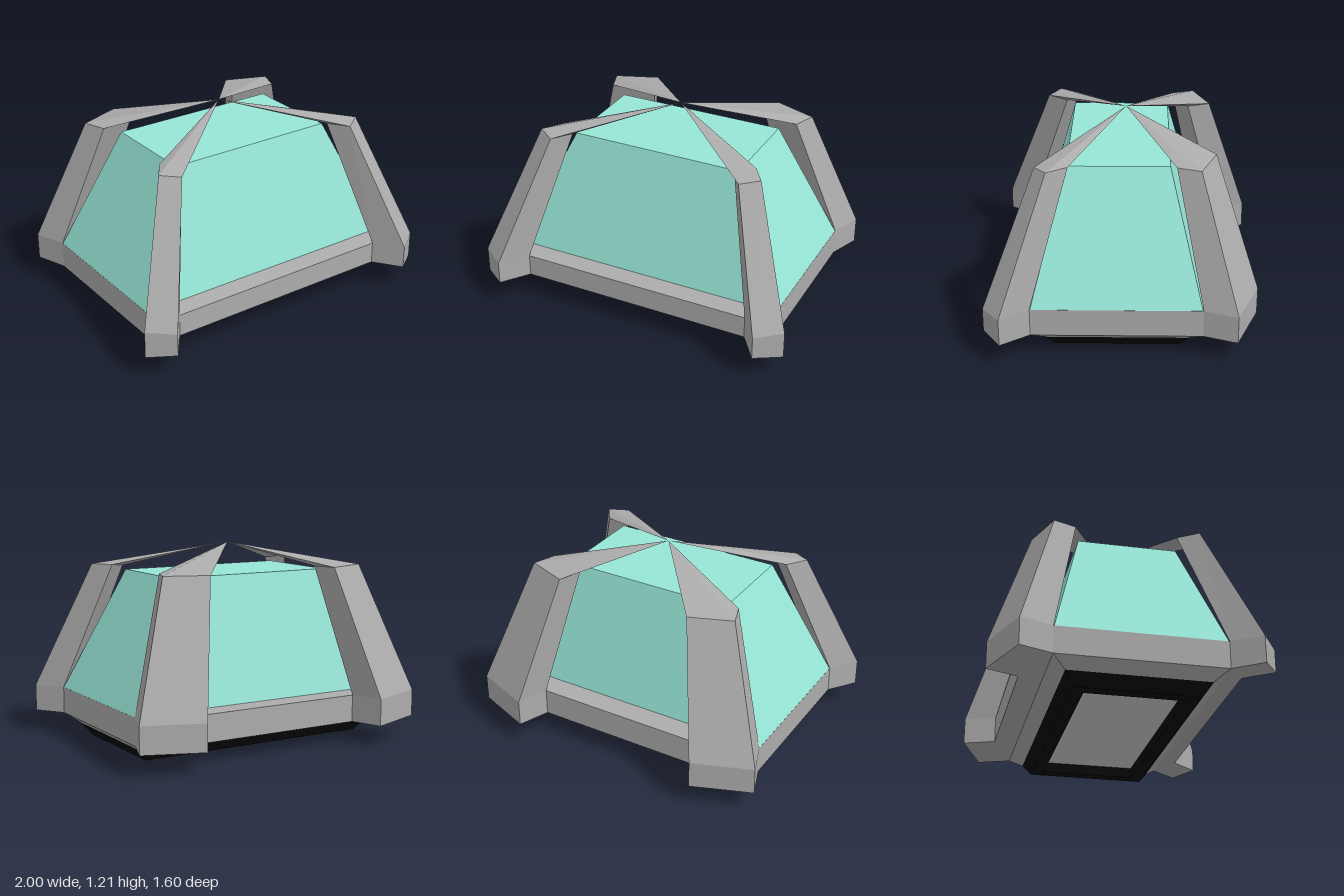
import * as THREE from 'three';

const grey = new THREE.MeshStandardMaterial({ color: 0xacacac, flatShading: true });
const paleGrey = new THREE.MeshStandardMaterial({ color: 0xcccccc, flatShading: true });
const black = new THREE.MeshStandardMaterial({ color: 0x070707, flatShading: true });
const glass = new THREE.MeshStandardMaterial({ color: 0x97e6d6, flatShading: true });

// Skins a stack of rings [x, y, z], each counterclockwise seen from above.
function loft(rings, capBottom = true, capTop = true) {
  const pos = [];
  const tri = (a, b, c) => {
    const same = (p, q) => p.every((v, i) => v === q[i]);
    if (!same(a, b) && !same(b, c) && !same(a, c)) pos.push(...a, ...b, ...c);
  };
  const n = rings[0].length;
  for (let k = 0; k < rings.length - 1; k++) {
    const lo = rings[k], hi = rings[k + 1];
    for (let i = 0; i < n; i++) {
      const j = (i + 1) % n;
      tri(lo[i], lo[j], hi[j]);
      tri(lo[i], hi[j], hi[i]);
    }
  }
  const first = rings[0], last = rings[rings.length - 1];
  for (let i = 1; i < n - 1; i++) {
    if (capBottom) tri(first[0], first[i + 1], first[i]);
    if (capTop) tri(last[0], last[i], last[i + 1]);
  }
  const geo = new THREE.BufferGeometry();
  geo.setAttribute('position', new THREE.Float32BufferAttribute(pos, 3));
  geo.computeVertexNormals();
  return geo;
}

// Rectangle ring at height y, from zBack to zFront.
const rect = (x, zBack, zFront, y) =>
  [[x, y, zFront], [x, y, zBack], [-x, y, zBack], [-x, y, zFront]];

const mirror = (ring) => ring.map(([x, y, z]) => [-x, y, z]).reverse();

export function createModel() {
  const group = new THREE.Group();
  const add = (name, geo, mat) => {
    const mesh = new THREE.Mesh(geo, mat);
    mesh.name = name;
    group.add(mesh);
  };

  // Sill: eight-sided band whose front lip is slightly thinner
  const outline = [[0.88, 0.525], [0.88, -0.47], [0.53, -0.61], [-0.53, -0.61],
    [-0.88, -0.47], [-0.88, 0.525], [-0.73, 0.633], [0.73, 0.633]];
  const sillRing = (y, lipY) => outline.map(([x, z]) => [x, z > 0.6 ? lipY : y, z]);
  add('sill', loft([sillRing(0.13, 0.143), sillRing(0.295, 0.28)]), grey);

  // Tapered underside with a black foot and a recessed panel
  add('undersideSlope', loft([rect(0.803, -0.39, 0.447, 0.073), rect(0.88, -0.47, 0.525, 0.13)], false, false), grey);
  add('foot', loft([
    rect(0.675, -0.265, 0.315, 0.063), rect(0.675, -0.265, 0.315, 0),
    rect(0.75, -0.338, 0.39, 0), rect(0.803, -0.39, 0.447, 0.073),
  ], false, false), black);
  add('bottomPanel', loft([rect(0.675, -0.265, 0.315, 0.063), rect(0.675, -0.265, 0.315, 0.08)]), paleGrey);

  // Glass canopy
  add('canopy', loft([rect(0.88, -0.467, 0.523, 0.293), rect(0.535, -0.277, 0.322, 1.04)], false), glass);

  // Corner ribs: upright foot, leaning post, then a taper to the shared apex
  const apex = Array(4).fill([0, 1.212, -0.015]);
  const frontRib = [
    [[0.73, 0.143, 0.633], [0.85, 0.143, 0.797], [1, 0.13, 0.69], [0.88, 0.13, 0.525]],
    [[0.73, 0.28, 0.633], [0.85, 0.283, 0.797], [1, 0.295, 0.69], [0.88, 0.295, 0.525]],
    [[0.53, 1.06, 0.375], [0.61, 1.063, 0.498], [0.717, 1.075, 0.425], [0.635, 1.075, 0.305]],
    apex,
  ];
  const backRib = [
    [[0.88, 0.13, -0.47], [0.953, 0.13, -0.665], [0.6, 0.13, -0.8], [0.53, 0.13, -0.61]],
    [[0.88, 0.295, -0.47], [0.953, 0.295, -0.665], [0.6, 0.295, -0.8], [0.53, 0.295, -0.61]],
    [[0.635, 1.075, -0.31], [0.685, 1.075, -0.447], [0.43, 1.075, -0.543], [0.38, 1.075, -0.405]],
    apex,
  ];
  for (const [name, rings] of [['front', frontRib], ['back', backRib]]) {
    add(name + 'LeftRib', loft(rings, true, false), grey);
    add(name + 'RightRib', loft(rings.map(mirror), true, false), grey);
  }
  return group;
}
